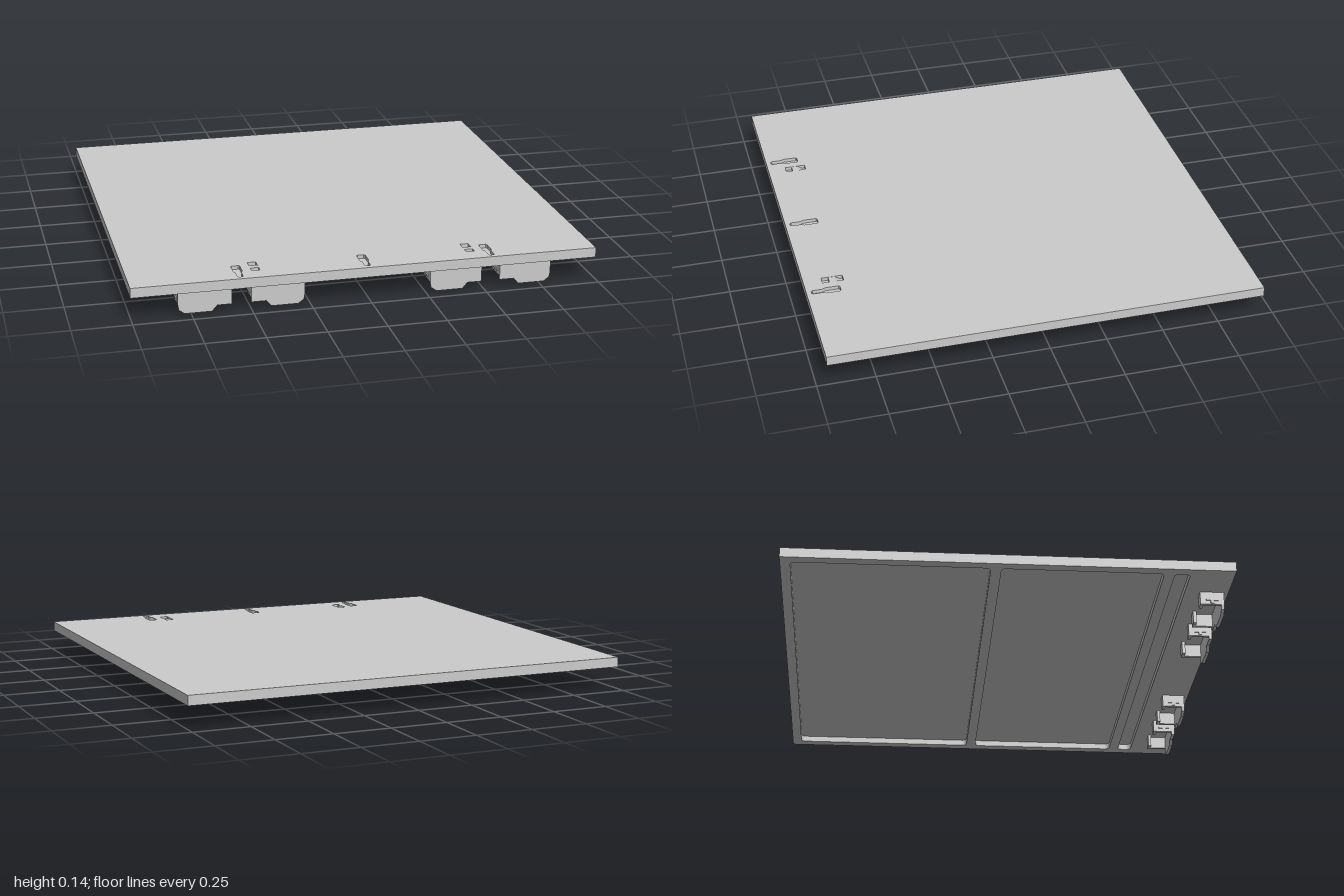
import * as THREE from 'three';

const material = new THREE.MeshStandardMaterial({ color: 0xcccccc, flatShading: true });
const TOP = 0.14, SPLIT = 0.124, BOTTOM = 0.097, HALF_Z = 0.953;

function shapeFrom(points, Type = THREE.Shape) {
  return new Type(points.map(([x, y]) => new THREE.Vector2(x, y)));
}

const rect = (x0, x1, z0, z1) => [[x0, z0], [x1, z0], [x1, z1], [x0, z1]];

// Rectangle with small rounded corners
function roundedRect(x0, x1, z0, z1, r) {
  const points = [];
  const corners = [[x1 - r, z1 - r], [x0 + r, z1 - r], [x0 + r, z0 + r], [x1 - r, z0 + r]];
  corners.forEach(([cx, cz], i) => {
    for (let k = 0; k <= 4; k++) {
      const a = (i + k / 4) * Math.PI / 2;
      points.push([cx + r * Math.cos(a), cz + r * Math.sin(a)]);
    }
  });
  return points;
}

function add(group, name, geometry) {
  const mesh = new THREE.Mesh(geometry, material);
  mesh.name = name;
  group.add(mesh);
  return mesh;
}

function box(group, name, x0, x1, y0, y1, z0, z1) {
  const mesh = add(group, name, new THREE.BoxGeometry(x1 - x0, y1 - y0, z1 - z0));
  mesh.position.set((x0 + x1) / 2, (y0 + y1) / 2, (z0 + z1) / 2);
  return mesh;
}

// Horizontal slab with holes, hanging down from its top height
function slab(group, name, top, bottom, holes) {
  const shape = shapeFrom(rect(-1, 1, -HALF_Z, HALF_Z));
  shape.holes = holes.map((points) => shapeFrom(points, THREE.Path));
  const geometry = new THREE.ExtrudeGeometry(shape, { depth: top - bottom, bevelEnabled: false });
  geometry.rotateX(Math.PI / 2).translate(0, top, 0);
  return add(group, name, geometry);
}

// Keyhole outline: wide at the back, narrow toward the front edge
function keyhole(x) {
  const half = [[0.014, 0.805], [0.019, 0.81], [0.019, 0.868], [0.012, 0.882], [0.012, 0.925], [0.007, 0.931]];
  const right = half.map(([dx, z]) => [x + dx, z]);
  const left = half.map(([dx, z]) => [x - dx, z]).reverse();
  return [...right, ...left];
}

// Hanging hook, drawn from its stepped end (u = 0) to its deep end
function hook(steppedX, direction) {
  const group = new THREE.Group();
  group.name = 'mountingHook';
  const width = 0.226;
  const outline = [[0, BOTTOM], [0, 0.025], [0.062, 0.025], [0.084, 0],
    [0.198, 0], [width - 0.004, 0.017], [width, 0.04], [width, BOTTOM]];
  let points = outline.map(([u, y]) => [steppedX + direction * u, y]);
  if (direction < 0) points = points.reverse();
  const front = new THREE.ExtrudeGeometry(shapeFrom(points), { depth: 0.014, bevelEnabled: false });
  front.translate(0, 0, 0.919);
  add(group, 'hookFront', front);

  const endX = steppedX + direction * width;
  const low = Math.min(steppedX, endX), high = Math.max(steppedX, endX);
  for (const [x, side] of [[low, -1], [high, 1]]) {
    const inner = x - side * 0.014;
    box(group, 'hookSide', Math.min(x, inner), Math.max(x, inner), 0.04, BOTTOM, 0.83, 0.92);
    // Small latch on the outer face
    box(group, 'latch', x - 0.005, x + 0.005, 0.056, 0.062, 0.855, 0.907);
    box(group, 'latch', x - 0.005, x + 0.005, 0.044, 0.056, 0.874, 0.888);
    // Short foot turned inward at the rear
    const foot = x - side * 0.045;
    box(group, 'hookFoot', Math.min(x, foot), Math.max(x, foot), 0.04, BOTTOM, 0.83, 0.844);
  }
  return group;
}

export function createModel() {
  const model = new THREE.Group();
  model.name = 'panel';

  // Upper sheet with keyhole pockets and clip slots
  const slots = [-0.465, 0.465];
  slab(model, 'topSheet', TOP, SPLIT, [
    ...[-0.54, 0, 0.54].map(keyhole),
    ...slots.map((x) => rect(x - 0.018, x + 0.018, 0.78, 0.872)),
  ]);

  // Lower frame: two large recesses and a narrow groove leave rims and ribs
  slab(model, 'bottomFrame', SPLIT, BOTTOM, [
    roundedRect(-0.955, 0.955, -0.91, -0.075, 0.02),
    roundedRect(-0.955, 0.955, -0.03, 0.655, 0.02),
    roundedRect(-0.955, 0.955, 0.7, 0.765, 0.02),
  ]);

  // Sloping tongues in the clip slots
  for (const x of slots) {
    const wedge = shapeFrom([[0.792, SPLIT], [0.842, SPLIT], [0.842, TOP - 0.001], [0.815, TOP - 0.001]]);
    const geometry = new THREE.ExtrudeGeometry(wedge, { depth: 0.036, bevelEnabled: false });
    geometry.rotateY(-Math.PI / 2).translate(x + 0.018, 0, 0);
    add(model, 'clipTongue', geometry);
  }

  // Hooks in mirrored pairs, stepped ends facing each other
  for (const side of [-1, 1]) {
    model.add(hook(side * 0.497, -side));
    model.add(hook(side * 0.578, side));
  }
  return model;
}
